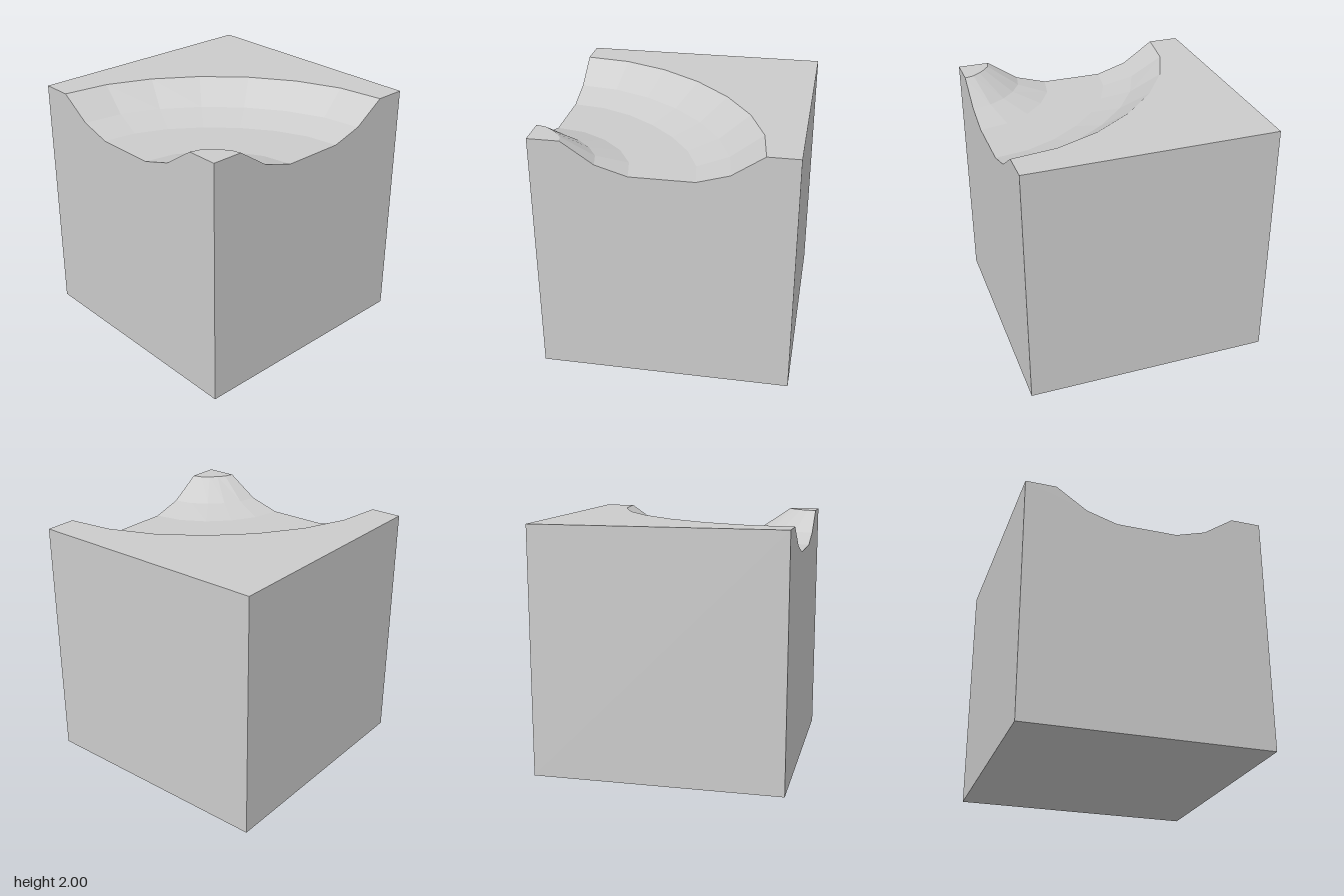
import * as THREE from 'three';

const material = new THREE.MeshStandardMaterial({ color: 0xcccccc, flatShading: true });
const FLOOR = 1.755, LEDGE = 1.83, TOP = 2;

// Quarter ring of points [x, z] around the front-left corner, slightly flattened mid-curve
function ring(radius, segments, dip, skew) {
  return Array.from({ length: segments + 1 }, (_, i) => {
    const even = (i / segments) * Math.PI / 2;
    const a = even - skew * Math.sin(4 * even);
    const r = radius - dip * Math.sin(2 * even) ** 2;
    return [1 - r * Math.sin(a), 1 - r * Math.cos(a)];
  });
}
const outerRing = (r) => ring(r, 7, 0.06, 0.018);
const innerRing = (r) => ring(r, 5, 0.022, 0);

// Horizontal face at height y, outlined by [x, z] points
function flat(points, y) {
  const shape = new THREE.Shape(points.map(([x, z]) => new THREE.Vector2(x, -z)));
  return new THREE.ShapeGeometry(shape).rotateX(-Math.PI / 2).translate(0, y, 0);
}

// Sloped band joining two rings with equal point counts
function band(inner, yInner, outer, yOuter) {
  const pos = [];
  for (let i = 0; i < inner.length - 1; i++) {
    const a = [inner[i][0], yInner, inner[i][1]];
    const b = [outer[i][0], yOuter, outer[i][1]];
    const c = [outer[i + 1][0], yOuter, outer[i + 1][1]];
    const d = [inner[i + 1][0], yInner, inner[i + 1][1]];
    pos.push(...a, ...b, ...c, ...a, ...c, ...d);
  }
  const g = new THREE.BufferGeometry();
  g.setAttribute('position', new THREE.Float32BufferAttribute(pos, 3));
  g.computeVertexNormals();
  return g;
}

export function createModel() {
  const group = new THREE.Group();
  const add = (name, geometry) => {
    const mesh = new THREE.Mesh(geometry, material);
    mesh.name = name;
    group.add(mesh);
  };

  const [o1, o2, o3] = [1.25, 1.5, 1.75].map(outerRing);
  const [i1, i2, i3] = [0.25, 0.5, 0.75].map(innerRing);

  // Curved channel: outer bank, floor, inner bank
  add('outerBankLower', band(o1, FLOOR, o2, LEDGE));
  add('outerBankUpper', band(o2, LEDGE, o3, TOP));
  add('channelFloor', flat([...o1, ...i3.slice().reverse()], FLOOR));
  add('innerBankLower', band(i2, LEDGE, i3, FLOOR));
  add('innerBankUpper', band(i1, TOP, i2, LEDGE));

  // Level ground on both sides of the channel
  add('groundTop', flat([...o3, [-1, 1], [-1, -1], [1, -1]], TOP));
  add('cornerTop', flat([...i1, [1, 1]], TOP));

  // Walls cut by the channel's cross-section
  const half = [[0.25, FLOOR], [0.5, LEDGE], [0.75, TOP], [1, TOP], [1, 0]];
  const mirrored = half.map(([x, y]) => [-x, y]).reverse();
  const section = new THREE.Shape([...mirrored, ...half].map(([x, y]) => new THREE.Vector2(x, y)));
  add('frontWall', new THREE.ShapeGeometry(section).translate(0, 0, 1));
  add('leftWall', new THREE.ShapeGeometry(section).rotateY(Math.PI / 2).translate(1, 0, 0));

  // Plain walls and base
  add('backWall', new THREE.PlaneGeometry(2, 2).rotateY(Math.PI).translate(0, 1, -1));
  add('rightWall', new THREE.PlaneGeometry(2, 2).rotateY(-Math.PI / 2).translate(-1, 1, 0));
  add('base', new THREE.PlaneGeometry(2, 2).rotateX(Math.PI / 2));

  return group;
}
